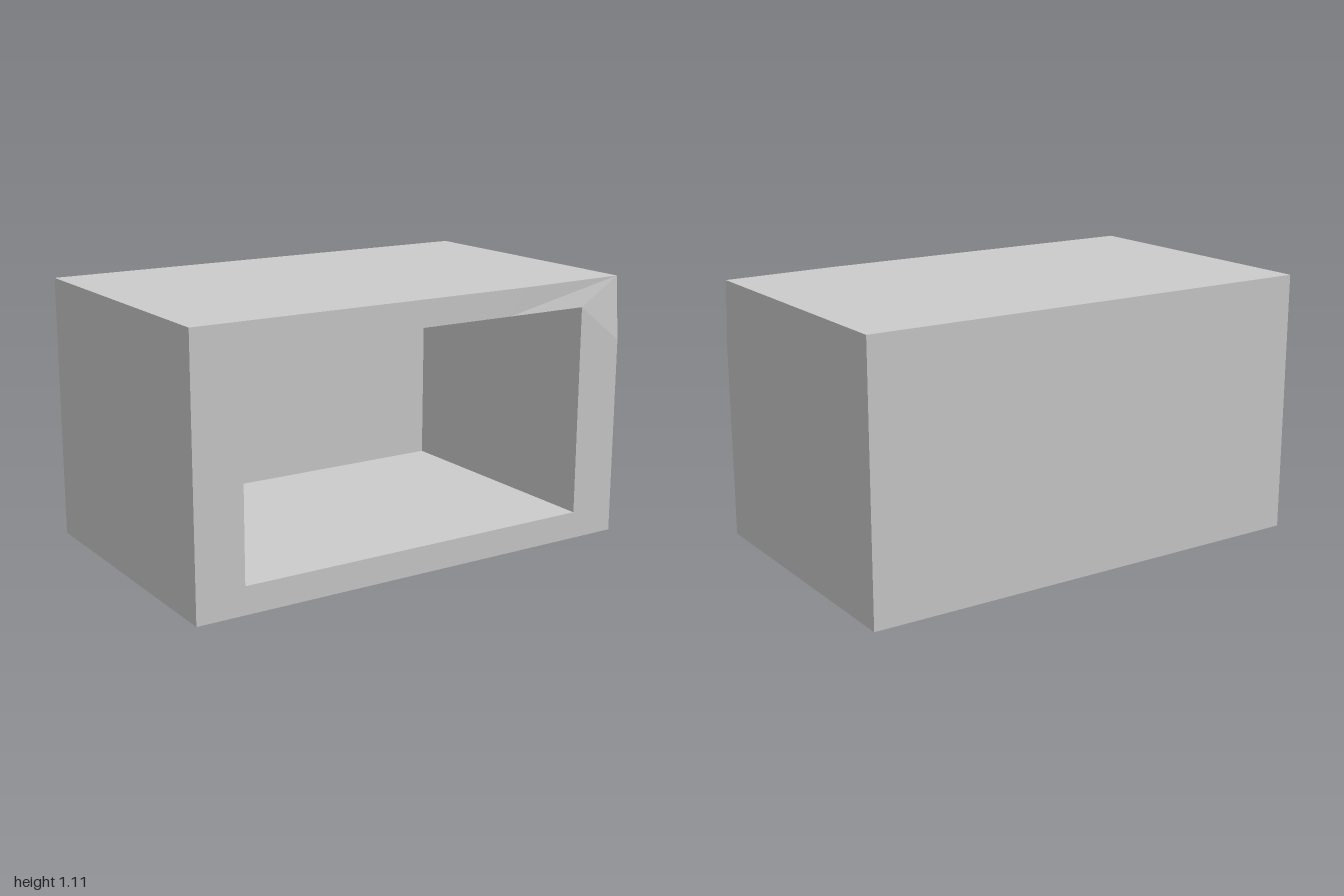
import * as THREE from 'three';

// Outer half width, height, half depth; opening half width, bottom, top, back
const W = 1, H = 1.11, D = 0.61;
const w = 0.795, lo = 0.115, hi = 1.0, back = -0.495;

const material = new THREE.MeshStandardMaterial({ color: 0xcccccc, flatShading: true });

// Flat convex panels, corners counter-clockwise as seen from their visible side
function panels(name, ...polygons) {
  const positions = [];
  for (const p of polygons) {
    for (let i = 1; i < p.length - 1; i++) positions.push(...p[0], ...p[i], ...p[i + 1]);
  }
  const geometry = new THREE.BufferGeometry();
  geometry.setAttribute('position', new THREE.Float32BufferAttribute(positions, 3));
  geometry.computeVertexNormals();
  const mesh = new THREE.Mesh(geometry, material);
  mesh.name = name;
  return mesh;
}

export function createModel() {
  const group = new THREE.Group();
  group.name = 'hollowBox';

  // Outer corners
  const [fbl, fbr, ftl] = [[-W, 0, D], [W, 0, D], [-W, H, D]];
  const [bbl, bbr, btl, btr] = [[-W, 0, -D], [W, 0, -D], [-W, H, -D], [W, H, -D]];
  // Dented front corner and the points where the dent starts
  const dent = [W, H, 0.588];
  const dentTop = [0.5, H, D], dentInner = [0.42, hi, D], dentSide = [W, 0.84, D];
  // Opening corners at the front and at the back of the cavity
  const [obl, obr, otr, otl] = [[-w, lo, D], [w, lo, D], [w, hi, D], [-w, hi, D]];
  const [cbl, cbr, ctr, ctl] = [obl, obr, otr, otl].map(([x, y]) => [x, y, back]);

  // Outer shell
  group.add(
    panels('topPanel', [ftl, dentTop, dent, btr, btl]),
    panels('bottomPanel', [fbl, bbl, bbr, fbr]),
    panels('leftPanel', [fbr, bbr, btr, dent, dentSide]),
    panels('rightPanel', [bbl, fbl, ftl, btl]),
    panels('backPanel', [bbr, bbl, btl, btr])
  );

  // Front rim around the opening, with the pushed-in corner
  group.add(
    panels('frontRim',
      [fbl, fbr, obr, obl],
      [fbl, obl, otl, ftl],
      [ftl, otl, dentInner, dentTop],
      [fbr, dentSide, otr, obr]),
    panels('dentedCorner',
      [dentTop, dentInner, dent],
      [dentInner, otr, dent],
      [otr, dentSide, dent])
  );

  // Cavity walls, facing inwards
  group.add(
    panels('cavityFloor', [obl, obr, cbr, cbl]),
    panels('cavityCeiling', [otr, otl, ctl, ctr]),
    panels('cavityLeftWall', [obr, otr, ctr, cbr]),
    panels('cavityRightWall', [otl, obl, cbl, ctl]),
    panels('cavityBack', [cbl, cbr, ctr, ctl])
  );
  return group;
}
